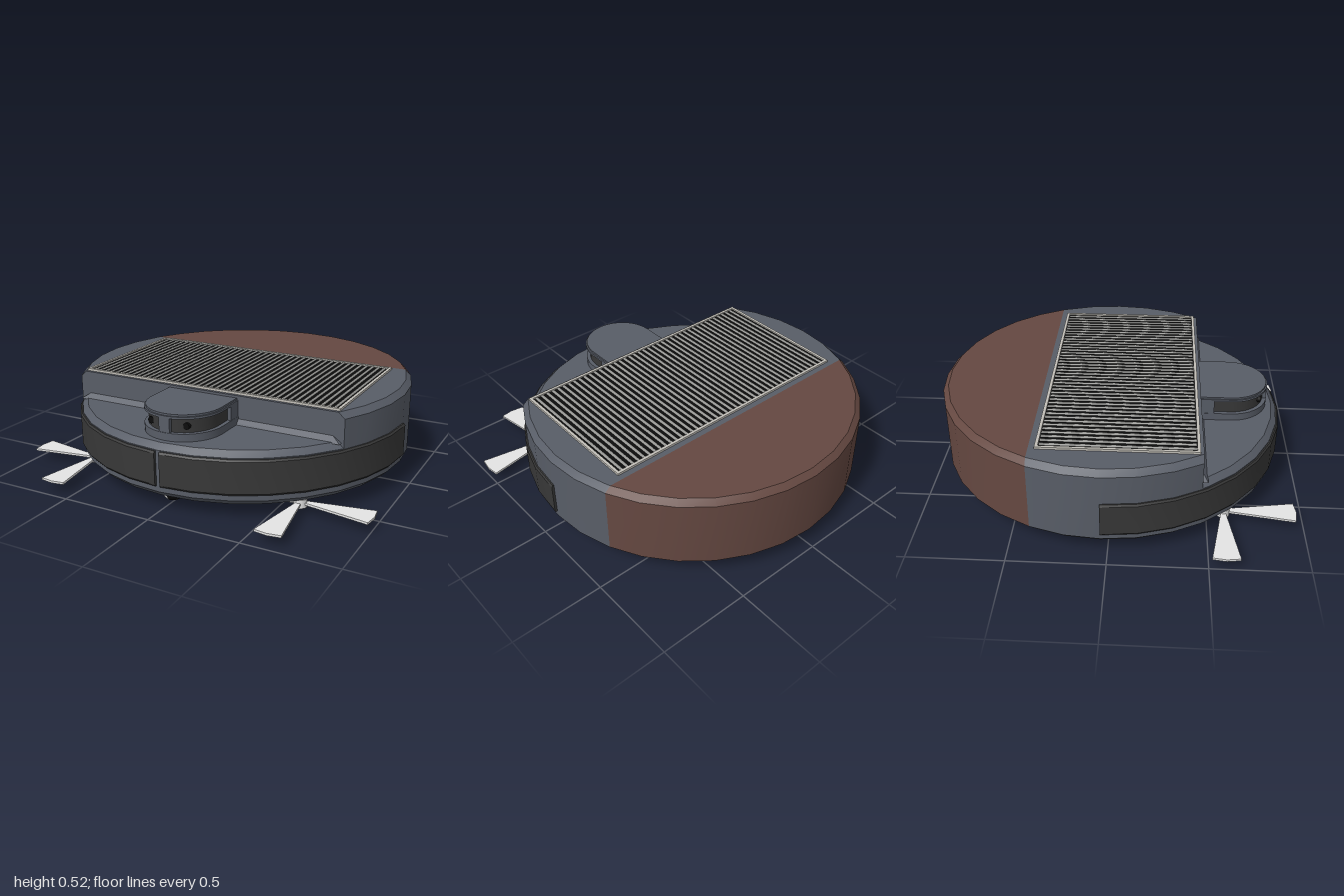
import * as THREE from 'three';
import { toCreasedNormals } from 'three/addons/utils/BufferGeometryUtils.js';

const R = 0.93, CZ = -0.035, STEP = Math.PI / 16;

const mat = (name, color, side = THREE.FrontSide) => {
  const m = new THREE.MeshStandardMaterial({ color, side });
  m.name = name;
  return m;
};

// Joins closed convex loops of points and caps both ends.
function loft(rings) {
  const n = rings[0].length, last = (rings.length - 1) * n, index = [];
  for (let r = 0; r < rings.length - 1; r++) {
    for (let i = 0; i < n; i++) {
      const a = r * n + i, b = r * n + (i + 1) % n;
      index.push(a, a + n, b, b, a + n, b + n);
    }
  }
  for (let i = 1; i < n - 1; i++) {
    index.push(0, i, i + 1, last, last + i + 1, last + i);
  }
  const g = new THREE.BufferGeometry();
  g.setAttribute('position', new THREE.Float32BufferAttribute(rings.flat(2), 3));
  g.setIndex(index);
  return toCreasedNormals(g, 0.5);
}

// Angles from a0 to a1, stopping at each corner of the 32-sided outline.
function arc(a0, a1) {
  const list = [a0];
  for (let k = Math.ceil(a0 / STEP); k * STEP < a1 - 1e-4; k++) {
    if (k * STEP > a0 + 1e-4) list.push(k * STEP);
  }
  return [...list, a1];
}

const rim = (a, y, out) => [(R + out) * Math.cos(a), y, CZ + (R + out) * Math.sin(a)];

// Slice of the round body between two z planes, with bevelled top and bottom.
function slice(z0, z1, top) {
  const layers = [[0.08, -0.03], [0.11, 0], [top - 0.03, 0], [top, -0.03]];
  return loft(layers.map(([y, out]) => {
    const angle = z => Math.asin(THREE.MathUtils.clamp((z - CZ) / (R + out), -1, 1));
    const a0 = angle(z0), a1 = angle(z1);
    return [...arc(a0, a1), ...arc(Math.PI - a1, Math.PI - a0)].map(a => rim(a, y, out));
  }));
}

export function createModel() {
  const grey = mat('slate grey', 0x585d67);
  const brown = mat('brown', 0x654841);
  const charcoal = mat('charcoal', 0x383838);
  const black = mat('black', 0x0c0c0c);
  const silver = mat('silver', 0xc2bfb8);
  const barGrey = mat('bar grey', 0x989895);
  const white = mat('pale grey', 0xe4e4e4, THREE.DoubleSide);
  const rubber = mat('rubber', 0x2c2c2c, THREE.DoubleSide);

  const model = new THREE.Group();
  const add = (name, geo, material, x = 0, y = 0, z = 0, parent = model) => {
    const mesh = new THREE.Mesh(geo, material);
    mesh.name = name;
    mesh.position.set(x, y, z);
    parent.add(mesh);
    return mesh;
  };
  const box = (name, material, w, h, d, x, y, z) =>
    add(name, new THREE.BoxGeometry(w, h, d), material, x, y, z);

  // Body
  add('rearBody', slice(-2, -0.395, 0.51), brown);
  add('middleBody', slice(-0.395, 0.46, 0.51), grey);
  add('frontDeck', slice(0.46, 2, 0.36), grey);

  // Sloped fillet where the front deck meets the step
  const wedge = s => [[s * 0.775, 0.355, 0.455], [s * 0.775, 0.355, 0.487], [s * 0.72, 0.392, 0.455]];
  add('stepFillet', loft([wedge(-1), wedge(1)]), grey);

  // Bumper halves wrapping the front
  const section = [[-0.01, 0.14], [-0.01, 0.325], [0.007, 0.325], [0.014, 0.315], [0.014, 0.15], [0.007, 0.14]];
  const bumper = (a0, a1) => loft(arc(a0, a1).map(a => section.map(([out, y]) => rim(a, y, out))));
  add('leftBumper', bumper(0, Math.PI / 2 - 0.014), charcoal);
  add('rightBumper', bumper(Math.PI / 2 + 0.014, Math.PI), charcoal);

  // Top grille with round bars
  box('grilleBack', black, 1.5, 0.006, 0.78, 0, 0.511, 0.04);
  const bar = new THREE.CylinderGeometry(0.009, 0.009, 0.77, 8).rotateX(Math.PI / 2);
  for (let i = 0; i < 42; i++) {
    add('grilleBar', bar, barGrey, -0.7175 + i * 0.035, 0.512, 0.04);
  }
  for (const s of [-1, 1]) {
    box('grilleSide', silver, 0.016, 0.016, 0.806, s * 0.747, 0.514, 0.04);
    box('grilleEnd', silver, 1.51, 0.016, 0.016, 0, 0.514, 0.04 + s * 0.395);
  }

  // Sensor turret: rounded slabs around a dark core
  const turret = (name, material, inset, y0, y1) => {
    const r = 0.21 - inset;
    const s = new THREE.Shape();
    s.moveTo(-r, 0.45);
    s.lineTo(r, 0.45);
    s.lineTo(r, 0.625);
    s.absarc(0, 0.625, r, 0, Math.PI, false);
    s.closePath();
    const g = new THREE.ExtrudeGeometry(s, { depth: y1 - y0, bevelEnabled: false, curveSegments: 12 });
    g.rotateX(Math.PI / 2);
    add(name, toCreasedNormals(g, 0.5), material, 0, y1, 0);
  };
  turret('turretBase', grey, 0, 0.35, 0.4);
  turret('turretCore', charcoal, 0.022, 0.4, 0.475);
  turret('turretLid', grey, 0, 0.475, 0.487);
  turret('turretTop', grey, 0.008, 0.487, 0.497);
  box('turretBack', grey, 0.418, 0.08, 0.09, 0, 0.437, 0.49);
  box('turretPost', grey, 0.06, 0.08, 0.05, 0, 0.437, 0.806);
  for (const s of [-1, 1]) {
    const lens = add('sensorLens', new THREE.CylinderGeometry(0.018, 0.018, 0.04, 12), black, s * 0.1, 0.435, 0.772);
    lens.rotation.x = Math.PI / 2;
  }

  // Side brushes, four flared blades each
  const bladeShape = new THREE.Shape([[0.02, -0.012], [0.37, -0.07], [0.38, 0], [0.37, 0.07], [0.02, 0.012]]
    .map(p => new THREE.Vector2(...p)));
  const bladeGeo = new THREE.ExtrudeGeometry(bladeShape, { depth: 0.012, bevelEnabled: false }).rotateX(Math.PI / 2);
  for (const s of [-1, 1]) {
    const brush = new THREE.Group();
    brush.name = 'sideBrush';
    brush.position.set(s * 0.62, 0, 0.585);
    model.add(brush);
    add('brushHub', new THREE.CylinderGeometry(0.035, 0.035, 0.045, 12), white, 0, 0.063, 0, brush);
    for (let i = 0; i < 4; i++) {
      add('brushBlade', bladeGeo, white, 0, 0.068, 0, brush).rotation.y = i * Math.PI / 2;
    }
  }

  // Hollow drive wheels, mostly hidden inside the body
  const ring = (inner, outer, width) => {
    const h = width / 2;
    const profile = [[inner, -h], [outer, -h], [outer, h], [inner, h], [inner, -h]]
      .map(p => new THREE.Vector2(...p));
    return toCreasedNormals(new THREE.LatheGeometry(profile, 32).rotateZ(Math.PI / 2), 0.5);
  };
  for (const s of [-1, 1]) {
    add('wheelRim', ring(0.175, 0.23, 0.03), rubber, s * 0.67, 0.236, -0.03);
    add('wheelTread', ring(0.175, 0.2, 0.1), rubber, s * 0.606, 0.236, -0.03);
  }

  // Main roller
  const roller = new THREE.CylinderGeometry(0.06, 0.06, 1, 20).rotateZ(Math.PI / 2);
  add('mainRoller', roller, white, 0, 0.078, -0.03);

  // Front caster in alternating quarters
  for (let i = 0; i < 4; i++) {
    const quarter = new THREE.SphereGeometry(0.058, 6, 14, i * Math.PI / 2, Math.PI / 2);
    add('casterQuarter', quarter, i % 2 ? black : white, 0, 0.072, 0.755).scale.z = 1.25;
  }

  return model;
}
